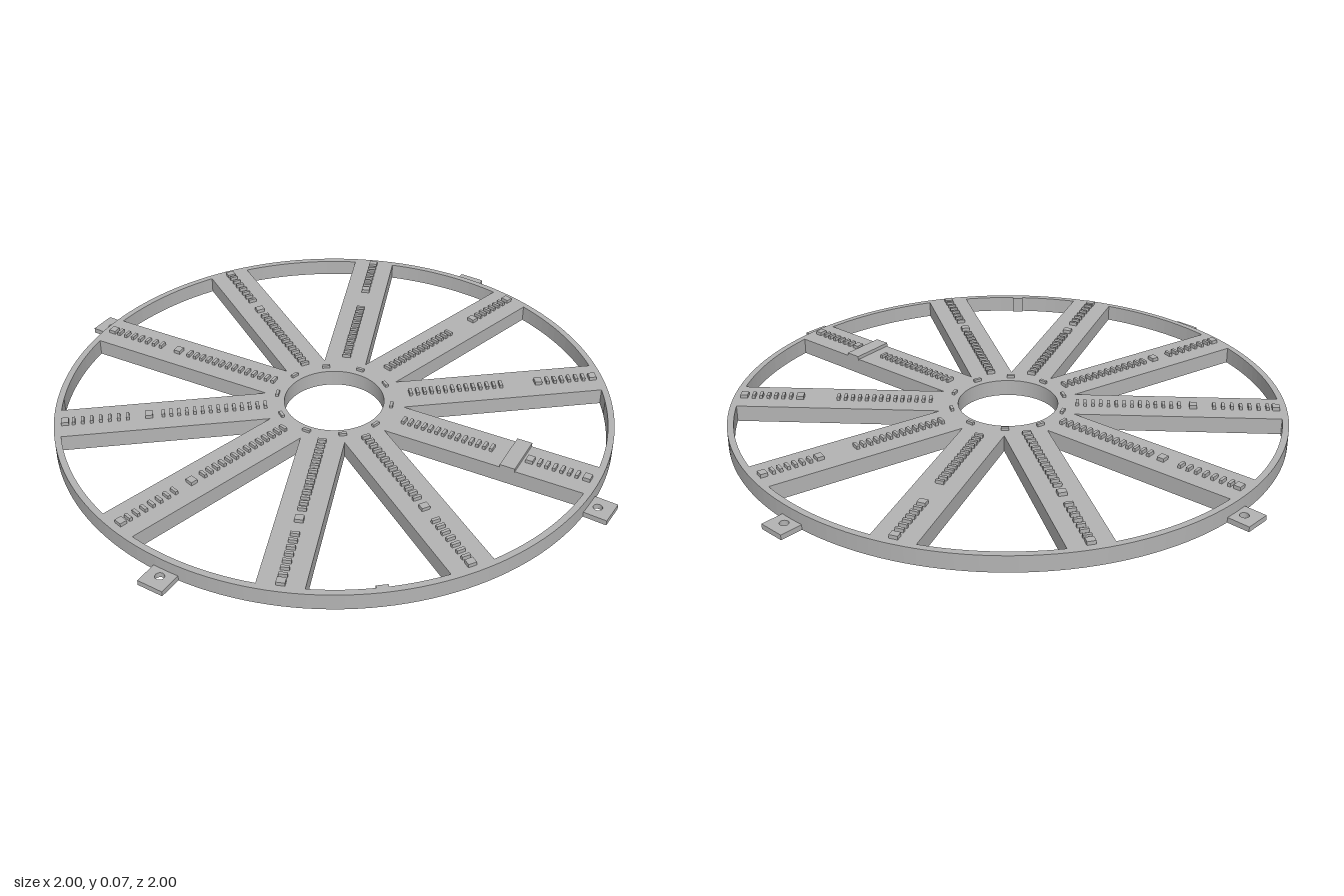
import * as THREE from 'three';

const TOP = 0.06, SPOKES = 10, STEP = Math.PI * 2 / SPOKES, OFFSET = 4.8 * Math.PI / 180;
const HALF = 0.078, HUB = 0.24, HOLE = 0.18, RIM_IN = 0.977, SKIN = 0.012;

export function createModel() {
  const model = new THREE.Group();
  model.name = 'spokedRing';
  const grey = new THREE.MeshStandardMaterial({ color: 0xb3b3b3 });
  grey.name = 'grey plastic';

  const add = (parent, name, geometry) => {
    const mesh = new THREE.Mesh(geometry, grey);
    mesh.name = name;
    parent.add(mesh);
    return mesh;
  };
  // Box given by its radial, vertical and sideways extents
  const block = (parent, name, x0, x1, y0, y1, z0, z1) => {
    const mesh = add(parent, name, new THREE.BoxGeometry(x1 - x0, y1 - y0, z1 - z0));
    mesh.position.set((x0 + x1) / 2, (y0 + y1) / 2, (z0 + z1) / 2);
    return mesh;
  };
  // Flat shape laid in the ground plane, filling y0 to y1
  const slab = (parent, name, shape, y0, y1, curveSegments = 64) => {
    const geometry = new THREE.ExtrudeGeometry(shape, { depth: y1 - y0, bevelEnabled: false, curveSegments });
    geometry.rotateX(Math.PI / 2).translate(0, y1, 0);
    return add(parent, name, geometry);
  };
  const circle = (r, x = 0) => new THREE.Shape().absarc(x, 0, r, 0, Math.PI * 2, false);
  const decagon = (apothem) => new THREE.Shape(Array.from({ length: SPOKES }, (_, i) => {
    const a = OFFSET + (i + 0.5) * STEP, r = apothem / Math.cos(STEP / 2);
    return new THREE.Vector2(Math.cos(a) * r, Math.sin(a) * r);
  }));
  const withHole = (shape, hole) => { shape.holes.push(hole); return shape; };
  const radialGroup = (name, angle) => {
    const group = new THREE.Group();
    group.name = name;
    group.rotation.y = -angle;
    model.add(group);
    return group;
  };

  // Outer rim, with a small joint on its inner face
  slab(model, 'rim', withHole(circle(1), circle(RIM_IN)), 0, TOP, 80);
  const joint = radialGroup('rimJoint', 94.3 * Math.PI / 180);
  block(joint, 'jointBlock', 0.966, 0.985, 0, TOP, -0.02, 0.02);

  // Hub: top plate, inner sleeve and ten-sided skirt
  slab(model, 'hubPlate', withHole(decagon(HUB), circle(HOLE)), TOP - SKIN, TOP);
  slab(model, 'hubSleeve', withHole(circle(HOLE + 0.013), circle(HOLE)), 0, TOP - SKIN);
  slab(model, 'hubSkirt', withHole(decagon(HUB), decagon(HUB - 0.014)), 0, TOP - SKIN);

  // Spokes: channels open below, with rows of pegs on top
  for (let i = 0; i < SPOKES; i++) {
    const angle = OFFSET + i * STEP;
    const spoke = radialGroup('spoke', angle);
    block(spoke, 'spokePlate', HUB, 0.978, TOP - SKIN, TOP, -HALF, HALF);
    for (const s of [-1, 1]) {
      const a = s * HALF, b = s * (HALF - 0.013);
      block(spoke, 'spokeWall', HUB, 0.978, 0, TOP - SKIN, Math.min(a, b), Math.max(a, b));
    }

    const peg = (r, length, width) =>
      block(spoke, 'peg', r - length / 2, r + length / 2, TOP - 0.004, 0.073, -width / 2, width / 2);
    const row = (from, to, count) => {
      for (let k = 0; k < count; k++) peg(from + (to - from) * k / (count - 1), 0.011, 0.03);
    };
    const longGap = i < 2 || i > 7;
    row(longGap ? 0.28 : 0.25, 0.615, 14);
    if (longGap) {
      peg(0.755, 0.026, 0.03);
      row(0.79, 0.925, 6);
    } else {
      peg(0.665, 0.026, 0.03);
      row(0.74, 0.93, 7);
    }
    peg(0.96, 0.026, 0.03);

    // Clip strip across one spoke
    if (i === 1) block(spoke, 'crossStrip', 0.675, 0.73, TOP - 0.004, 0.073, -HALF - 0.003, HALF + 0.003);

    // Small peg on the hub between neighbouring spokes
    const hubPeg = radialGroup('hubPeg', angle + STEP / 2);
    block(hubPeg, 'peg', 0.203, 0.214, TOP - 0.004, 0.07, -0.014, 0.014);
  }

  // Four mounting tabs with screw holes
  for (let i = 0; i < 4; i++) {
    const tab = radialGroup('mountingTab', Math.PI / 4 + i * Math.PI / 2);
    const plate = new THREE.Shape([[0.985, -0.048], [1.082, -0.048], [1.082, 0.048], [0.985, 0.048]]
      .map(([x, y]) => new THREE.Vector2(x, y)));
    slab(tab, 'tabPlate', withHole(plate, circle(0.016, 1.03)), 0, 0.019, 12);
  }
  return model;
}
